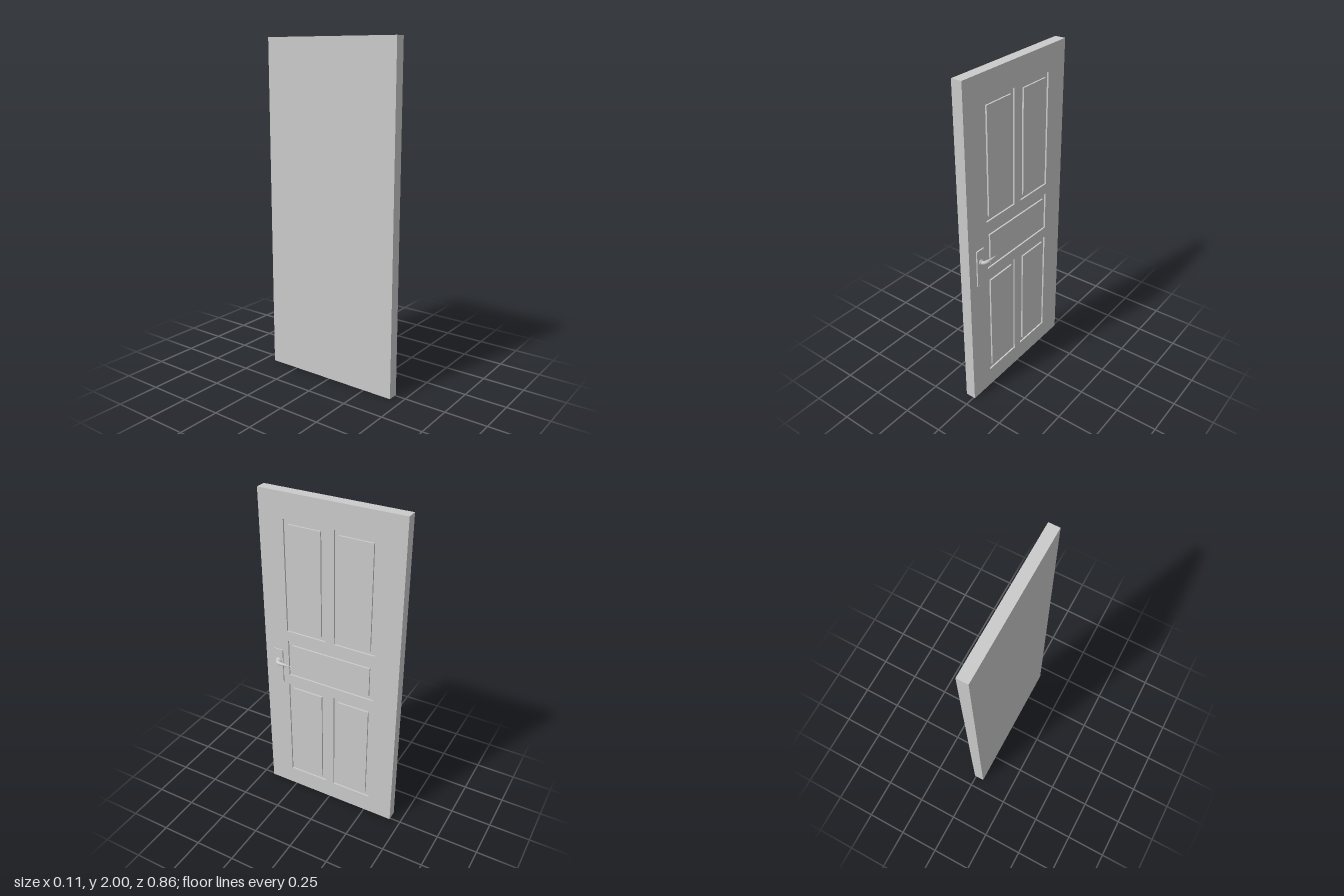
import * as THREE from 'three';

const material = new THREE.MeshStandardMaterial({ color: 0xcccccc, roughness: 0.7 });

// Door is modelled face-on (local x across, local z out of the face), then turned to face +x.
const FACE = 0.009, GROOVE = 0.01, BACK = -0.055, HALF = 0.432, BORDER = 0.026;
// Panel outlines: x0, x1, y0, y1
const PANELS = [
  [-0.28, -0.028, 1.17, 1.852], [0.028, 0.28, 1.17, 1.852],
  [-0.276, 0.28, 0.868, 1.105],
  [-0.28, -0.028, 0.122, 0.802], [0.028, 0.28, 0.122, 0.802],
];

function add(parent, name, geometry, x = 0, y = 0, z = 0) {
  const mesh = new THREE.Mesh(geometry, material);
  mesh.name = name;
  mesh.position.set(x, y, z);
  parent.add(mesh);
  return mesh;
}

function rectangle(Type, x0, x1, y0, y1) {
  return new Type([[x0, y0], [x1, y0], [x1, y1], [x0, y1]].map(p => new THREE.Vector2(...p)));
}

// Round tube along a curve whose radius follows a rule of t in 0..1
function taperedTube(curve, radiusAt, rings, sides) {
  const geometry = new THREE.TubeGeometry(curve, rings, 1, sides);
  const position = geometry.attributes.position;
  const v = new THREE.Vector3();
  for (let i = 0; i <= rings; i++) {
    const centre = curve.getPointAt(i / rings);
    for (let j = 0; j <= sides; j++) {
      const k = i * (sides + 1) + j;
      v.fromBufferAttribute(position, k).sub(centre).multiplyScalar(radiusAt(i / rings)).add(centre);
      position.setXYZ(k, v.x, v.y, v.z);
    }
  }
  geometry.computeVertexNormals();
  return geometry;
}

function createLeaf() {
  const leaf = new THREE.Group();
  leaf.name = 'doorLeaf';
  const depth = FACE - GROOVE - BACK;
  add(leaf, 'core', new THREE.BoxGeometry(HALF * 2, 2, depth), 0, 1, BACK + depth / 2);

  // Face frame with an opening for each panel
  const frame = rectangle(THREE.Shape, -HALF, HALF, 0, 2);
  PANELS.forEach(p => frame.holes.push(rectangle(THREE.Path, ...p)));
  add(leaf, 'faceFrame', new THREE.ExtrudeGeometry(frame, { depth: GROOVE, bevelEnabled: false }),
    0, 0, FACE - GROOVE);

  // Raised fields, leaving a groove around each
  for (const [x0, x1, y0, y1] of PANELS) {
    add(leaf, 'panel',
      new THREE.BoxGeometry(x1 - x0 - 2 * BORDER, y1 - y0 - 2 * BORDER, GROOVE),
      (x0 + x1) / 2, (y0 + y1) / 2, FACE - GROOVE / 2);
  }
  return leaf;
}

function createHandle() {
  const handle = new THREE.Group();
  handle.name = 'handle';
  const cx = -0.344, cy = 0.953;
  add(handle, 'backplate', new THREE.BoxGeometry(0.06, 0.23, 0.008), cx, 0.917, FACE + 0.004);

  // Corner screws
  for (const sx of [-1, 1]) for (const sy of [-1, 1]) {
    const screw = add(handle, 'screw', new THREE.CylinderGeometry(0.003, 0.003, 0.002, 12),
      cx + sx * 0.022, 0.917 + sy * 0.107, FACE + 0.0085);
    screw.rotation.x = Math.PI / 2;
  }

  // Stepped collar
  const profile = [[0.019, 0], [0.019, 0.003], [0.015, 0.004], [0.015, 0.007], [0.011, 0.009], [0, 0.009]];
  const collar = add(handle, 'collar',
    new THREE.LatheGeometry(profile.map(p => new THREE.Vector2(...p)), 24), cx, cy, 0.017);
  collar.rotation.x = Math.PI / 2;

  // Lever: neck comes out, bends along the door and tapers to a point
  const path = new THREE.CatmullRomCurve3([
    [cx, 0.018], [cx + 0.002, 0.029], [cx + 0.01, 0.038], [cx + 0.025, 0.043],
    [cx + 0.055, 0.0435], [-0.235, 0.042],
  ].map(([x, z]) => new THREE.Vector3(x, cy, z)));
  const radius = t => t < 0.3 ? 0.0115 : 0.0115 * (1 - (t - 0.3) / 0.7) + 0.0003;
  add(handle, 'lever', taperedTube(path, radius, 36, 18));
  return handle;
}

export function createModel() {
  const model = new THREE.Group();
  model.name = 'door';
  const assembly = new THREE.Group();
  assembly.name = 'doorAssembly';
  assembly.add(createLeaf(), createHandle());
  assembly.rotation.y = Math.PI / 2;
  model.add(assembly);
  return model;
}
